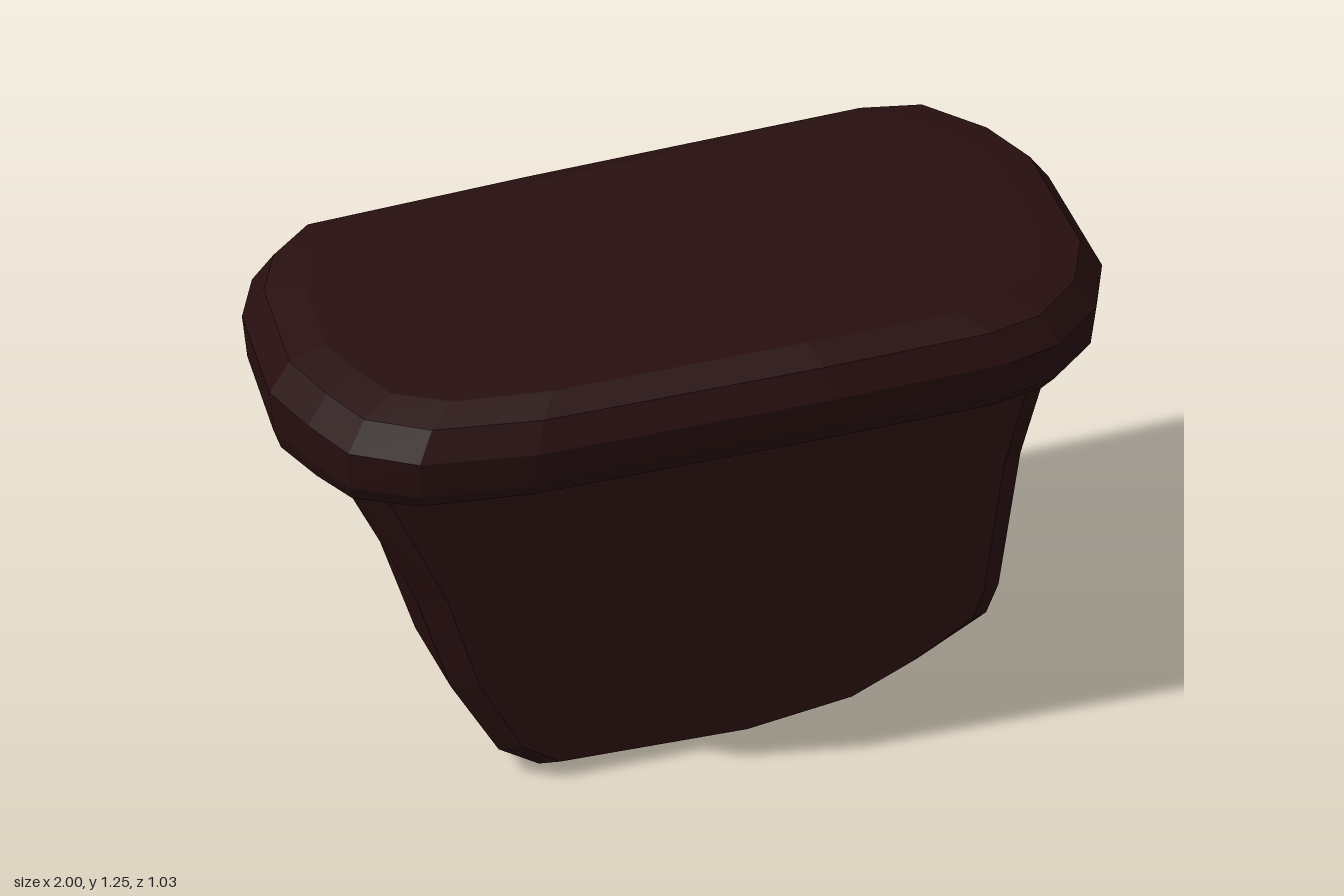
import * as THREE from 'three';

// Skin a series of closed rings and close both ends with a fan.
function loft(rings) {
  const n = rings[0].length;
  const pos = rings.flat(2);
  const index = [];
  for (let i = 0; i < rings.length - 1; i++) {
    for (let j = 0; j < n; j++) {
      const k = (j + 1) % n;
      const a = i * n + j, b = i * n + k;
      index.push(a, b, b + n, a, b + n, a + n);
    }
  }
  [0, rings.length - 1].forEach((r, end) => {
    const centre = pos.length / 3;
    for (let c = 0; c < 3; c++) pos.push(rings[r].reduce((s, p) => s + p[c], 0) / n);
    for (let j = 0; j < n; j++) {
      const a = r * n + j, b = r * n + (j + 1) % n;
      index.push(centre, ...(end ? [a, b] : [b, a]));
    }
  });
  const indexed = new THREE.BufferGeometry();
  indexed.setAttribute('position', new THREE.Float32BufferAttribute(pos, 3));
  indexed.setIndex(index);
  const geometry = indexed.toNonIndexed();
  geometry.computeVertexNormals();
  return geometry;
}

// Slab plan (x, z)
const slabPlan = [
  [-0.77, -0.5], [-0.2, -0.5], [0.67, -0.52], [0.82, -0.49], [0.94, -0.35], [1, -0.2],
  [1, 0.18], [0.93, 0.34], [0.8, 0.46], [0.66, 0.5], [0.22, 0.515], [-0.5, 0.495],
  [-0.77, 0.435], [-0.91, 0.33], [-0.96, 0.19], [-1, 0.03], [-0.96, -0.28], [-0.89, -0.41],
];

// Slab levels from top to underside: height, inset along x, inset along z, droop at the ends
const slabLevels = [
  [1.255, 0.14, 0.1, 0.025], [1.225, 0.05, 0.03, 0.02], [1.15, 0, 0, 0.02],
  [1.05, 0.01, 0.02, 0.03], [0.99, 0.03, 0.075, 0.025], [0.935, 0.15, 0.25, 0.02],
];

// Stem outline (x, y), anticlockwise from the front
const stemOutline = [
  [-0.38, 0.015], [0.12, 0], [0.4, 0.035], [0.55, 0.1], [0.72, 0.195], [0.75, 0.27],
  [0.8, 0.64], [0.88, 0.93], [0.89, 1], [-0.89, 1], [-0.86, 0.92], [-0.69, 0.57],
  [-0.6, 0.29], [-0.48, 0.08],
];

// Stem layers from back to front: face side, depth behind that face, bevel amount
const stemLayers = [['back', 0, 1], ['back', 0.055, 0], ['front', 0.055, 0], ['front', 0, 1]];

export function createModel() {
  const darkBrown = new THREE.MeshStandardMaterial({ color: 0x280f0f, flatShading: true });
  darkBrown.name = 'darkBrown';
  const group = new THREE.Group();

  const slabRings = slabLevels.map(([y, insetX, insetZ, droop]) =>
    slabPlan.map(([x, z]) => [x * (1 - insetX), y - droop * x * x, z * (1 - insetZ / 0.52)]));
  const slab = new THREE.Mesh(loft(slabRings), darkBrown);
  slab.name = 'topSlab';

  const stemRings = stemLayers.map(([side, depth, bevel]) =>
    stemOutline.map(([x, y]) => {
      const z = side === 'front' ? 0.212 + 0.03 * y - depth : -0.128 - 0.052 * y + depth;
      return [x - bevel * 0.08 * (x - 0.05), y + bevel * 0.035 * Math.max(0, 1 - y), z];
    }));
  const stem = new THREE.Mesh(loft(stemRings), darkBrown);
  stem.name = 'taperedStem';

  group.add(slab, stem);
  return group;
}
